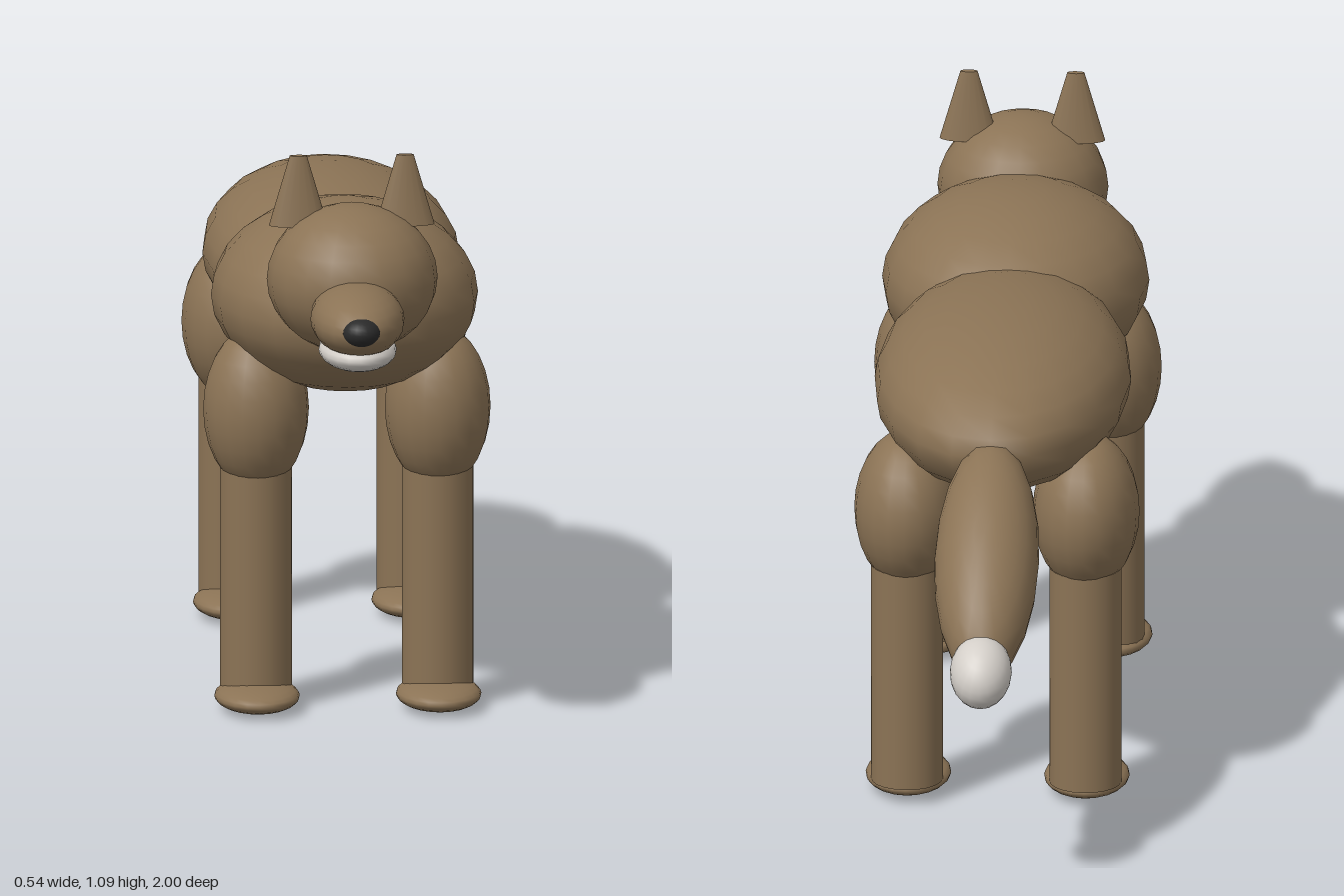
import * as THREE from 'three';

export function createModel() {
  const model = new THREE.Group();
  model.name = 'fox';

  const material = (name, color) => {
    const m = new THREE.MeshStandardMaterial({ color });
    m.name = name;
    return m;
  };
  const fur = material('brown fur', 0x8b7355);
  const pale = material('pale fur', 0xd3cec8);
  const dark = material('dark nose', 0x2a2a2a);

  const add = (name, geometry, mat, [x, y, z], parent = model) => {
    const mesh = new THREE.Mesh(geometry, mat);
    mesh.name = name;
    mesh.position.set(x, y, z);
    parent.add(mesh);
    return mesh;
  };
  // Ellipsoid given by its three radii
  const ellipsoid = (name, mat, centre, [rx, ry, rz], parent) =>
    add(name, new THREE.SphereGeometry(1, 20, 14).scale(rx, ry, rz), mat, centre, parent);

  // Trunk
  ellipsoid('body', fur, [0, 0.74, -0.1], [0.24, 0.155, 0.465]);
  ellipsoid('chest', fur, [0, 0.77, 0.38], [0.25, 0.175, 0.32]);
  ellipsoid('belly', pale, [0, 0.68, 0.1], [0.185, 0.1, 0.35]);

  // Head
  ellipsoid('head', fur, [0, 0.86, 0.648], [0.16, 0.14, 0.165]);
  ellipsoid('snout', fur, [0, 0.822, 0.83], [0.088, 0.065, 0.16]);
  ellipsoid('lowerJaw', pale, [0, 0.765, 0.835], [0.073, 0.035, 0.12]);
  ellipsoid('nose', dark, [0, 0.826, 0.965], [0.036, 0.027, 0.035]);

  // Tail slopes down and back
  const tail = new THREE.Group();
  tail.name = 'tail';
  tail.position.set(0, 0.59, -0.71);
  tail.rotation.x = -0.63;
  model.add(tail);
  ellipsoid('tailBrush', fur, [0, 0, 0], [0.098, 0.098, 0.268], tail);
  ellipsoid('tailTip', pale, [0, 0.015, -0.26], [0.058, 0.058, 0.075], tail);

  // One leg: rounded upper part, straight shin and flat paw
  const leg = (name, x, zUpper, zShin, zPaw, yUpper, radii) => {
    const group = new THREE.Group();
    group.name = name;
    model.add(group);
    ellipsoid('upperLeg', fur, [x, yUpper, zUpper], radii, group);
    add('shin', new THREE.CylinderGeometry(0.067, 0.067, 0.425, 20), fur, [x, 0.245, zShin], group);
    ellipsoid('paw', fur, [x, 0.027, zPaw], [0.08, 0.027, 0.114], group);
  };

  for (const [label, side] of [['Left', 1], ['Right', -1]]) {
    // Tapered, flattened ear
    const ear = new THREE.CylinderGeometry(0.016, 0.055, 0.133, 16).scale(1, 1, 0.45);
    add('ear' + label, ear, fur, [side * 0.1, 1.024, 0.63]);
    leg('frontLeg' + label, side * 0.17, 0.463, 0.463, 0.497, 0.57, [0.099, 0.155, 0.106]);
    leg('hindLeg' + label, side * 0.167, -0.325, -0.352, -0.297, 0.56, [0.1, 0.15, 0.135]);
  }
  return model;
}
